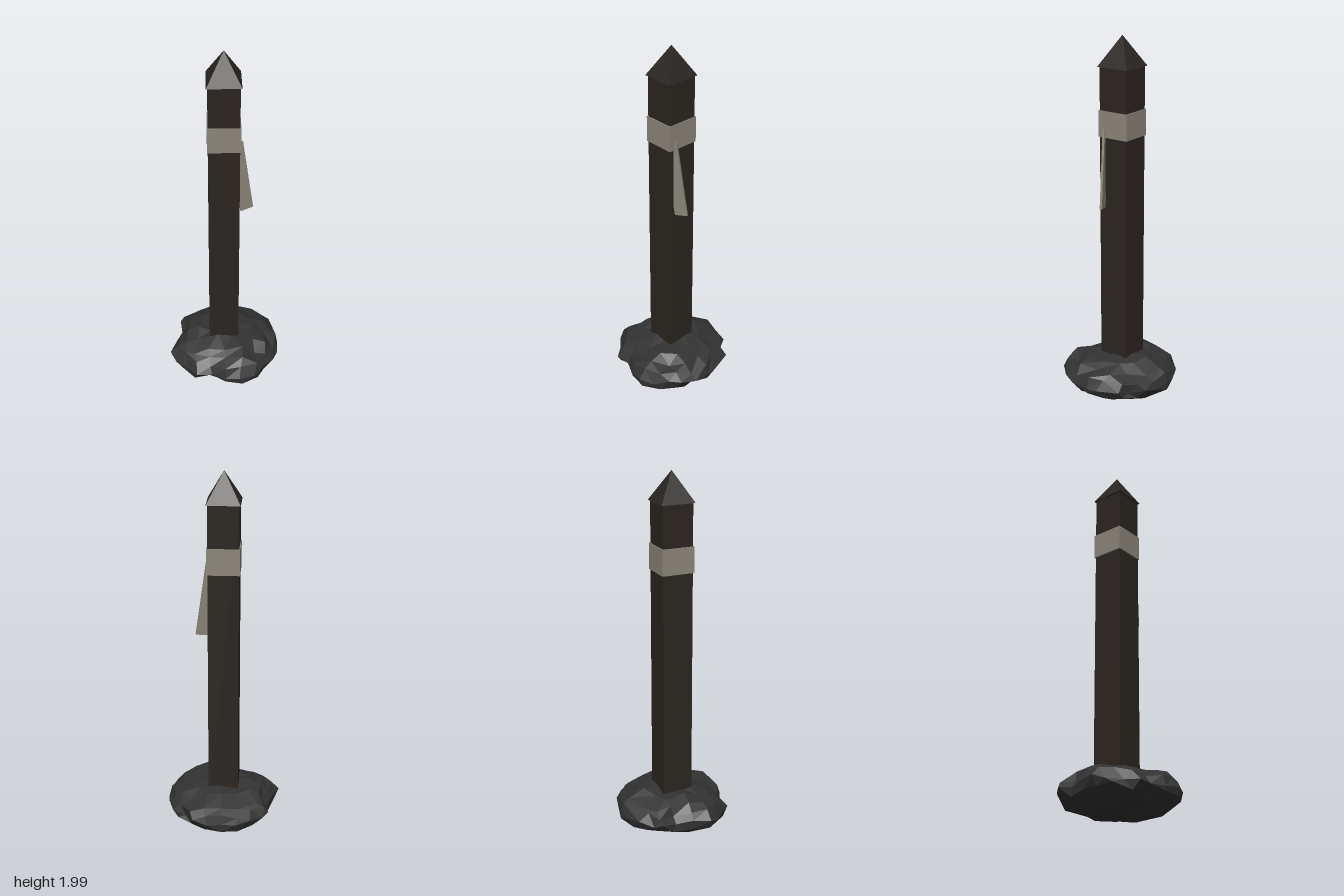
import * as THREE from 'three';

// outline of the mound as x, z pairs, starting at the back and running over the left side
const OUTLINE = [
  0, -.315, .075, -.30, .155, -.28, .2, -.195, .27, -.185, .305, -.06, .31, 0, .305, .09,
  .275, .17, .225, .22, .165, .28, .08, .31, 0, .297, -.075, .26, -.16, .265, -.21, .205,
  -.28, .145, -.31, .09, -.275, 0, -.245, -.09, -.255, -.175, -.225, -.21, -.155, -.27, -.08, -.3,
];

// rings of the mound from the bottom up: scale, height, corner count
const RINGS = [
  [0, .01, 1], [.42, .022, 8], [.75, .05, 16], [.94, .085, 20], [1, .13, 24],
  [.93, .17, 20], [.78, .205, 16], [.55, .232, 12], [.3, .245, 7], [0, .25, 1],
];

function mat(color) {
  return new THREE.MeshStandardMaterial({ color, flatShading: true });
}

function seeded(seed) {
  return () => {
    seed = (seed * 16807) % 2147483647;
    return seed / 2147483647 - 0.5;
  };
}

function outlineAt(u) {
  const n = OUTLINE.length / 2, f = u * n, i = Math.floor(f) % n, j = (i + 1) % n, t = f - Math.floor(f);
  return [0, 1].map(k => OUTLINE[2 * i + k] * (1 - t) + OUTLINE[2 * j + k] * t);
}

// craggy mound: jittered rings zipped together with triangles
function moundGeometry() {
  const rnd = seeded(4711), positions = [], index = [], starts = [];
  for (const [scale, y, count] of RINGS) {
    starts.push(positions.length / 3);
    const rim = scale === 1, loose = count > 1 ? 1 : 0;
    for (let i = 0; i < count; i++) {
      const [x, z] = outlineAt(i / count);
      const s = scale + (rim ? 0 : rnd() * .13 * loose);
      positions.push(x * s, Math.min(.255, Math.max(.008, y + rnd() * .036 * loose)), z * s);
    }
  }
  for (let r = 0; r + 1 < RINGS.length; r++) {
    const n = RINGS[r][2], m = RINGS[r + 1][2];
    const low = i => starts[r] + i % n, up = j => starts[r + 1] + j % m;
    for (let i = 0, j = 0; i < n || j < m;) {
      if ((i + 1) * m <= (j + 1) * n) {
        if (n > 1) index.push(low(i), up(j), low(i + 1));
        i++;
      } else {
        if (m > 1) index.push(low(i), up(j), up(j + 1));
        j++;
      }
    }
  }
  const g = new THREE.BufferGeometry();
  g.setAttribute('position', new THREE.Float32BufferAttribute(positions, 3));
  g.setIndex(index);
  const flat = g.toNonIndexed();
  flat.computeVertexNormals();
  return flat;
}

export function createModel() {
  const model = new THREE.Group();
  const add = (name, geometry, material, x, y, z) => {
    const mesh = new THREE.Mesh(geometry, material);
    mesh.name = name;
    mesh.position.set(x, y, z);
    model.add(mesh);
    return mesh;
  };
  const wood = mat(0x2b2520), cloth = mat(0x8c867a);
  const cx = -.002, cz = -.008;

  add('rockMound', moundGeometry(), mat(0x333333), 0, 0, 0);

  // square post with a pointed cap
  add('post', new THREE.BoxGeometry(.163, 1.74, .168), wood, cx, .97, cz);
  const capGeometry = new THREE.ConeGeometry(Math.SQRT1_2, .16, 4).rotateY(Math.PI / 4).scale(.178, 1, .188);
  add('cap', capGeometry, mat(0x2a2622), cx, 1.92, cz);

  // cloth band and its hanging, tilted tail
  add('band', new THREE.BoxGeometry(.173, .14, .18), cloth, cx, 1.545, cz);
  const tail = add('bandTail', new THREE.BoxGeometry(.071, .42, .012), cloth, .089, 1.308, .043);
  tail.rotation.set(0, .367, .15, 'YXZ');

  return model;
}
